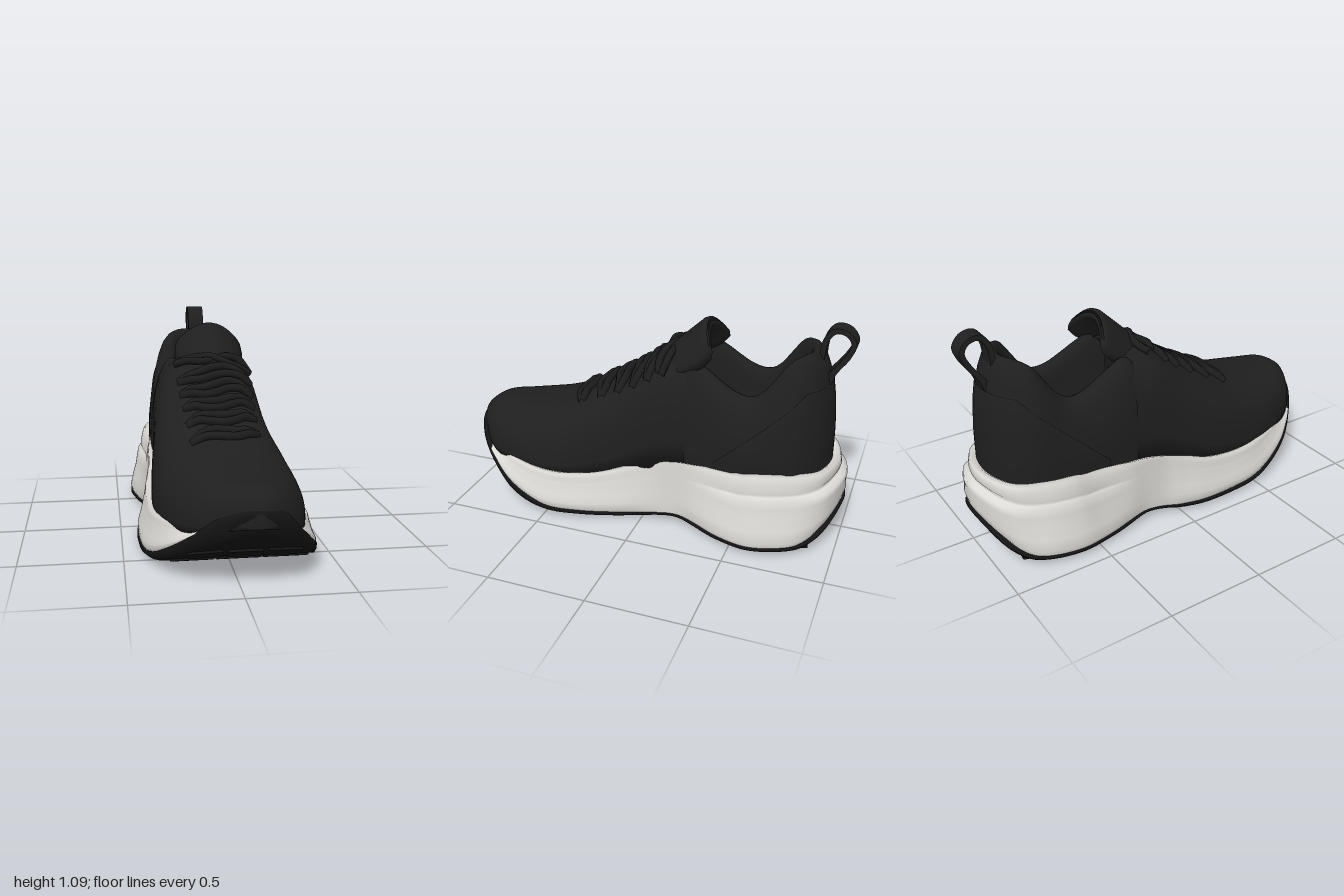
import * as THREE from 'three';

const V = (x, y, z) => new THREE.Vector3(x, y, z);
const { lerp, clamp, smoothstep } = THREE.MathUtils;
const mat = (name, color, side = THREE.FrontSide) => {
  const m = new THREE.MeshStandardMaterial({ color, side });
  m.name = name;
  return m;
};

// Smooth curve through [position, value] pairs sorted by position
function curve(p) {
  const slope = (i) => {
    const a = p[Math.max(i - 1, 0)], b = p[Math.min(i + 1, p.length - 1)];
    return (b[1] - a[1]) / (b[0] - a[0]);
  };
  return (z) => {
    if (z <= p[0][0]) return p[0][1];
    if (z >= p[p.length - 1][0]) return p[p.length - 1][1];
    let i = 0;
    while (z > p[i + 1][0]) i++;
    const h = p[i + 1][0] - p[i][0], t = (z - p[i][0]) / h, u = 1 - t;
    return p[i][1] * (1 + 2 * t) * u * u + slope(i) * h * t * u * u
      + p[i + 1][1] * t * t * (3 - 2 * t) - slope(i + 1) * h * t * t * u;
  };
}

// Skin a list of equal-length rings
function loft(rings, closed) {
  const n = rings[0].length, idx = [], g = new THREE.BufferGeometry();
  for (let i = 0; i < rings.length - 1; i++) {
    for (let j = 0; j < (closed ? n : n - 1); j++) {
      const k = (j + 1) % n, a = i * n + j, b = i * n + k;
      idx.push(a, b, a + n, b, b + n, a + n);
    }
  }
  g.setFromPoints(rings.flat());
  g.setIndex(idx);
  g.computeVertexNormals();
  return g;
}

// Evenly spaced plan path with outward normals
function planPath(points, closed, n) {
  const c = new THREE.CatmullRomCurve3(points.map(([x, z]) => V(x, 0, z)), closed, 'centripetal');
  return Array.from({ length: closed ? n : n + 1 }, (_, i) => {
    const p = c.getPointAt(i / n), t = c.getTangentAt(i / n);
    return { x: p.x, z: p.z, nx: -t.z, nz: t.x };
  });
}
const offset = (p, d, y) => V(p.x - p.nx * d, y, p.z - p.nz * d);

// Sole plan: z, right edge (-x), left edge (+x)
const PLAN = [[-0.95, -0.22, 0.19], [-0.88, -0.32, 0.28], [-0.78, -0.385, 0.35], [-0.6, -0.42, 0.4],
  [-0.45, -0.4, 0.37], [-0.3, -0.37, 0.31], [-0.18, -0.345, 0.268], [-0.08, -0.355, 0.27], [0, -0.385, 0.29],
  [0.12, -0.415, 0.335], [0.3, -0.42, 0.39], [0.5, -0.4, 0.42], [0.7, -0.335, 0.385], [0.8, -0.28, 0.335],
  [0.9, -0.19, 0.265], [0.965, -0.09, 0.19]];
const planR = curve(PLAN.map((r) => [r[0], r[1]])), planL = curve(PLAN.map((r) => [r[0], r[2]]));

// Heights along the length
const groundY = curve([[-1, 0.15], [-0.95, 0.075], [-0.9, 0.03], [-0.82, 0], [-0.4, 0], [-0.2, 0.015], [0, 0], [0.4, 0],
  [0.5, 0.008], [0.6, 0.025], [0.7, 0.06], [0.8, 0.115], [0.9, 0.19], [0.97, 0.255], [1, 0.32]]);
const tread = curve([[-1, 0.17], [-0.95, 0.11], [-0.88, 0.055], [-0.8, 0.035], [-0.4, 0.03], [-0.2, 0.05], [0, 0.03],
  [0.4, 0.035], [0.5, 0.045], [0.6, 0.075], [0.7, 0.12], [0.8, 0.18], [0.9, 0.265], [0.95, 0.325], [1, 0.38]]);
const foamTop = curve([[-1, 0.4], [-0.6, 0.4], [-0.5, 0.38], [-0.3, 0.365], [-0.15, 0.35], [0, 0.31], [0.2, 0.25],
  [0.4, 0.23], [0.6, 0.24], [0.8, 0.265], [0.9, 0.29], [0.95, 0.31], [1, 0.33]]);
const crest = curve([[-0.22, 0.87], [-0.08, 0.86], [0, 0.81], [0.1, 0.735], [0.2, 0.675], [0.4, 0.57], [0.5, 0.535],
  [0.6, 0.51], [0.8, 0.48], [0.9, 0.472], [0.95, 0.45], [0.985, 0.415], [1, 0.37]]);
const upR = curve([[-0.22, -0.31], [0, -0.32], [0.2, -0.345], [0.4, -0.35], [0.6, -0.32], [0.8, -0.245],
  [0.9, -0.17], [0.96, -0.085], [0.985, -0.02], [1, 0.035]]);
const upL = curve([[-0.22, 0.25], [0, 0.26], [0.2, 0.29], [0.4, 0.335], [0.6, 0.345], [0.8, 0.3],
  [0.9, 0.24], [0.96, 0.17], [0.985, 0.13], [1, 0.085]]);
const power = (z) => lerp(0.55, 0.8, clamp(z / 0.6, 0, 1));
const baseY = (z) => foamTop(z) - 0.03;

// Height of the forefoot skin above a point
function skinY(x, z) {
  const c = (upL(z) + upR(z)) / 2, w = (upL(z) - upR(z)) / 2, n = 2 / power(z), b = baseY(z);
  return b + (crest(z) - b) * Math.pow(Math.max(0, 1 - Math.pow(Math.abs((x - c) / w), n)), 1 / n);
}

export function createModel() {
  const root = new THREE.Group();
  root.name = 'runningShoe';
  const black = mat('upperBlack', 0x1f1f1f, THREE.DoubleSide);
  const laceBlack = mat('laceBlack', 0x1c1c1c);
  const rubber = mat('rubberBlack', 0x141414);
  const foam = mat('foamWhite', 0xdcdbd7);
  const add = (name, geo, m, parent = root) => {
    const mesh = new THREE.Mesh(geo, m);
    mesh.name = name;
    parent.add(mesh);
    return mesh;
  };

  // Shared sole outline, toe round the left side to the heel and back
  const sole = planPath([[0.06, 1], ...[...PLAN].reverse().map((r) => [r[2], r[0]]), [-0.02, -1],
    ...PLAN.map((r) => [r[1], r[0]])], true, 200);
  const inward = (p, f, y) => {
    const az = clamp(p.z, -0.72, 0.8), z = lerp(p.z, az, f);
    return V(lerp(p.x, (planL(az) + planR(az)) / 2, f), y(z), z);
  };

  // Midsole: height fraction, then inset at the sides, heel sides and heel back
  const wall = [[0, 0.02, 0.012, 0.03], [0.1, 0.005, 0, 0.008], [0.25, 0.005, 0.012, 0], [0.42, 0.018, 0.03, 0.004],
    [0.55, 0.026, 0.038, 0], [0.66, 0.032, 0.046, 0.004], [0.7, 0.034, 0.062, 0.035], [0.73, 0.036, 0.066, 0.042],
    [0.77, 0.038, 0.062, 0.034], [0.88, 0.042, 0.07, 0.036], [0.96, 0.046, 0.078, 0.042], [1, 0.056, 0.09, 0.06]];
  const foamRings = wall.map(([t, side, heelSide, heelBack]) => sole.map((p) => {
    const top = foamTop(p.z), low = Math.min(tread(p.z) - 0.01, top - 0.01);
    const waist = 1 - 0.85 * Math.exp(-(((p.z + 0.15) / 0.15) ** 2));
    const d = lerp(lerp(side, heelSide, smoothstep(-p.z, 0.2, 0.5)), heelBack, smoothstep(-p.z, 0.78, 0.98));
    return offset(p, d * waist + 0.08 * smoothstep(p.z, 0.94, 0.99), lerp(low, top, t));
  }));
  foamRings.push(sole.map((p) => inward(p, 0.45, (z) => foamTop(z) - 0.06)));
  foamRings.push(sole.map((p) => inward(p, 1, (z) => foamTop(z) - 0.06)));
  add('midsole', loft(foamRings, true), foam);

  // Outsole: rubber pan that climbs over the toe
  const bed = (z) => groundY(z) + 0.012;
  add('outsole', loft([
    sole.map((p) => inward(p, 1, bed)),
    sole.map((p) => inward(p, 0.5, bed)),
    sole.map((p) => offset(p, 0.035, bed(p.z - p.nz * 0.035))),
    sole.map((p) => offset(p, 0.012, groundY(p.z - p.nz * 0.012) + 0.012)),
    sole.map((p) => offset(p, 0, lerp(groundY(p.z), tread(p.z), 0.6))),
    sole.map((p) => offset(p, 0, tread(p.z))),
    sole.map((p) => offset(p, 0.05, tread(p.z) + 0.035 * smoothstep(p.z, 0.8, 0.95))),
  ], true), rubber);

  // Tread lugs
  const lugs = new THREE.Group();
  lugs.name = 'treadLugs';
  root.add(lugs);
  for (let i = 0; i < 14; i++) {
    const z = -0.82 + i * 0.125, l = planL(z) - 0.04, r = planR(z) + 0.04;
    for (let j = 0; j < 3; j++) {
      const lug = add('lug', new THREE.BoxGeometry((l - r) * 0.3, 0.03, 0.09), rubber, lugs);
      lug.position.set(lerp(r, l, (j + 0.5) / 3), groundY(z) + 0.018, z);
      lug.rotation.set(-Math.atan((groundY(z + 0.04) - groundY(z - 0.04)) / 0.08), (j - 1) * 0.12, 0);
    }
  }

  // Forefoot of the upper: arched sections from throat to toe
  const fore = [];
  for (let i = 0; i <= 48; i++) {
    const z = -0.22 + 1.22 * Math.sin((i / 48) * Math.PI / 2), e = power(z);
    const c = (upL(z) + upR(z)) / 2, w = (upL(z) - upR(z)) / 2, b = baseY(z);
    fore.push(Array.from({ length: 41 }, (_, j) => {
      const a = (j / 40) * Math.PI, k = Math.cos(a);
      return V(c + w * Math.sign(k) * Math.pow(Math.abs(k), e), b + (crest(z) - b) * Math.pow(Math.max(0, Math.sin(a)), e), z);
    }));
  }
  fore.push(fore[48].map(() => V(0.06, 0.34, 1)));
  add('forefootUpper', loft(fore, true), black);

  // Heel and collar: padded wall swept round the opening
  const heel = planPath([[0.235, -0.14], [0.25, -0.23], [0.278, -0.4], [0.29, -0.6], [0.25, -0.78], [0.135, -0.885], [0, -0.915],
    [-0.135, -0.885], [-0.255, -0.78], [-0.3, -0.6], [-0.31, -0.4], [-0.308, -0.23], [-0.295, -0.14]], false, 100);
  const rim = curve([[-0.84, 0.955], [-0.78, 0.965], [-0.74, 0.955], [-0.7, 0.925], [-0.65, 0.855], [-0.6, 0.785],
    [-0.55, 0.747], [-0.5, 0.74], [-0.44, 0.757], [-0.38, 0.79], [-0.3, 0.84], [-0.24, 0.868], [-0.2, 0.85], [-0.14, 0.78]]);
  const collarY = (p) => rim(p.z - p.nz * 0.115);
  const collar = [[0, 0], [0, 0.25], [0.007, 0.45], [0.02, 0.65], [0.042, 0.82], [0.066, 0.93], [0.092, 0.985], [0.115, 1],
    [0.135, 0.975], [0.15, 0.9], [0.154, 0.75], [0.155, 0.5], [0.17, 0.25]];
  const heelRings = collar.map(([d, t]) => heel.map((p) => offset(p, d, lerp(baseY(p.z), collarY(p), t))));
  heelRings.push(heel.map((p) => V(-0.01, 0.43, Math.max(p.z, -0.72))));
  add('heelCollar', loft(heelRings, false), black);

  // Heel counter: thin overlay rising diagonally to the back
  const inset = curve(collar.slice(0, 8).map(([d, t]) => [t, d]));
  const back = heel.filter((p) => p.z < -0.38);
  const counter = [0, 0.2, 0.4, 0.6, 0.8, 1, 1.01].map((t) => back.map((p) => {
    const y = lerp(0.37, Math.min(0.8, 0.4 + (-0.38 - p.z) * 0.9), t), b = baseY(p.z);
    return offset(p, inset((y - b) / (collarY(p) - b)) - (t > 1 ? -0.004 : 0.005), y);
  }));
  add('heelCounter', loft(counter, false), black);

  // Tongue: curved padded flap leaning back out of the throat
  const tongue = [[0.02, 0.79, 0.15, 0.03], [-0.05, 0.865, 0.16, 0.03], [-0.12, 0.935, 0.175, 0.035], [-0.19, 1.0, 0.185, 0.04],
    [-0.235, 1.042, 0.18, 0.04], [-0.255, 1.05, 0.165, 0.03], [-0.265, 1.04, 0.15, 0.008]].map(([z, y, w, th]) => {
    const row = (s, d) => Array.from({ length: 15 }, (_, i) => {
      const x = s * w * (i / 7 - 1), drop = x * x;
      return V(x + 0.005, y - 3.6 * drop - d, z - 1.8 * drop - d);
    });
    return [...row(1, 0), ...row(-0.94, th)];
  });
  add('tongue', loft(tongue, true), black);

  // Laces: paired cords that pinch together at the eyelets
  const laces = new THREE.Group();
  laces.name = 'laces';
  root.add(laces);
  const cord = (points, radius) => add('lace',
    new THREE.TubeGeometry(new THREE.CatmullRomCurve3(points), 32, radius, 8), laceBlack, laces);
  const across = [-1, -0.7, -0.35, 0, 0.35, 0.7, 1];
  [0.395, 0.285, 0.185, 0.09, 0.005].forEach((z0, i) => {
    for (const s of [-1, 1]) {
      cord(across.map((u) => {
        const x = u * (0.165 + i * 0.006), z = z0 + s * 0.024 * (1 - u * u) - u * 0.02 + 0.012 * Math.sin(u * 4 + i);
        return V(x, skinY(x, z) + (Math.abs(u) === 1 ? -0.008 : 0.01), z);
      }), 0.022);
    }
  });

  // Loose crossing cords at the top of the throat
  for (const s of [-1, 1]) {
    cord(across.map((u) => {
      const x = u * 0.2, z = -0.075 + s * 0.03 * Math.sin(u * 3);
      return V(x, skinY(x, z) + 0.022 + 0.01 * s * Math.cos(u * 5), z);
    }), 0.019);
  }

  // Pull loop at the heel
  const ring = (pts, Type) => new Type().setFromPoints(
    new THREE.CatmullRomCurve3(pts.map(([x, y]) => V(x, y, 0)), true).getPoints(48).slice(0, -1).map((p) => new THREE.Vector2(p.x, p.y)));
  const strap = ring([[0.84, 0.79], [0.82, 0.92], [0.833, 1.03], [0.88, 1.085], [0.945, 1.077], [0.988, 1.02],
    [0.967, 0.95], [0.907, 0.86], [0.872, 0.78]], THREE.Shape);
  strap.holes.push(ring([[0.845, 0.92], [0.858, 1.02], [0.892, 1.06], [0.938, 1.052], [0.962, 1.015],
    [0.942, 0.96], [0.886, 0.88], [0.858, 0.85]], THREE.Path));
  const loop = new THREE.ExtrudeGeometry(strap, { depth: 0.09, bevelEnabled: false });
  loop.translate(0, 0, -0.045).rotateY(Math.PI / 2);
  add('pullLoop', loop, black);

  return root;
}
